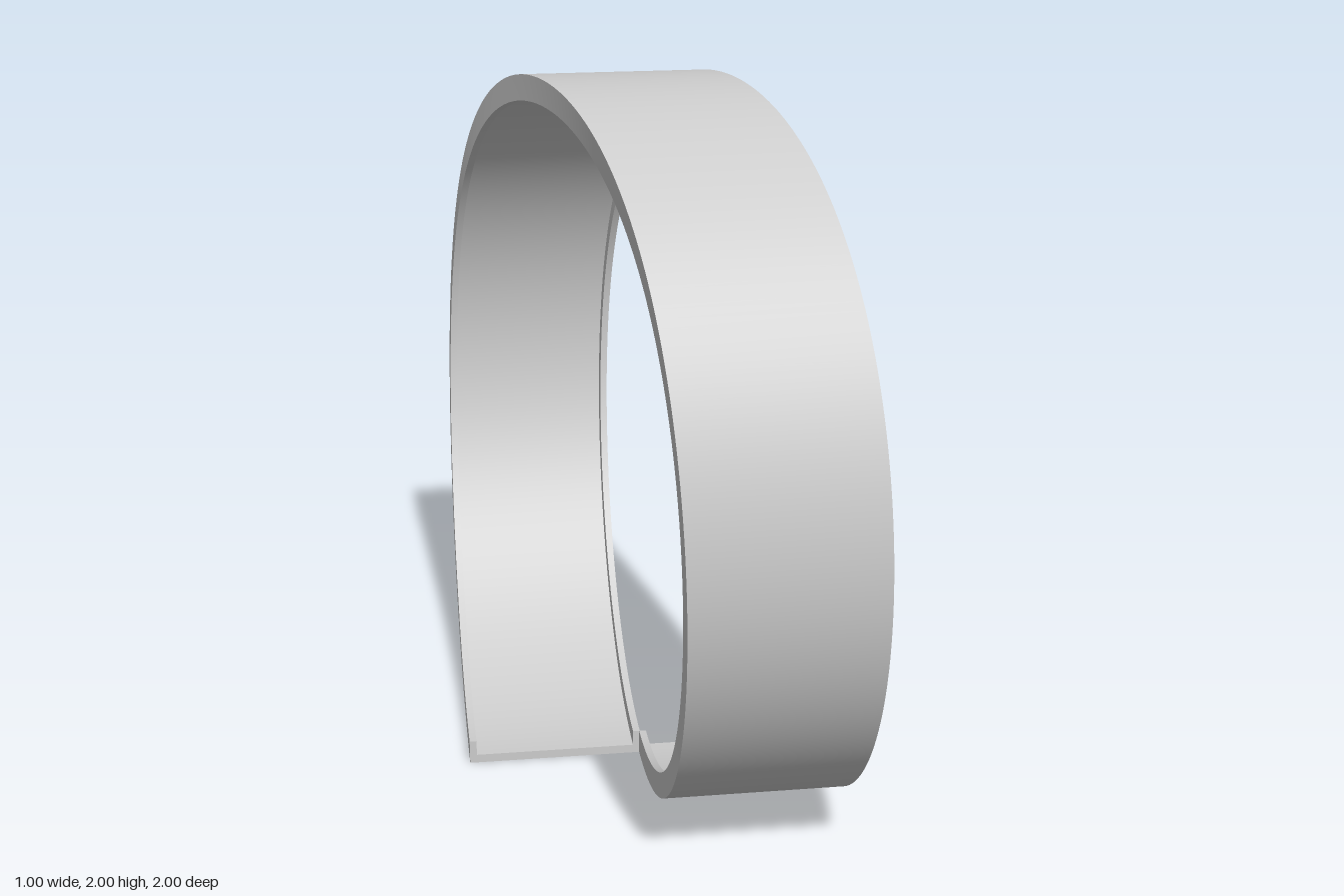
import * as THREE from 'three';

const STEPS = 256;

// Channel cross-section: [offset along x, depth below the outer rim]
const PROFILE = [
  [-0.25, 0], [0.25, 0], [0.25, 0.07], [0.23, 0.07],
  [0.23, 0.025], [-0.23, 0.025], [-0.23, 0.07], [-0.25, 0.07],
];

// Angle runs from -PI to PI, 0 at the top, turning towards the front;
// the band shifts sideways in an S-curve so that its two ends lie side by side.
function place(angle, [u, depth]) {
  const r = 1 - depth;
  return [0.25 * Math.tanh(angle) + u, 1 + r * Math.cos(angle), r * Math.sin(angle)];
}

function makeGeometry(positions, indices) {
  const g = new THREE.BufferGeometry();
  g.setAttribute('position', new THREE.Float32BufferAttribute(positions, 3));
  g.setIndex(indices);
  g.computeVertexNormals();
  return g;
}

// Sweep every profile edge separately: smooth along the band, sharp at corners
function bandGeometry() {
  const pos = [], idx = [];
  PROFILE.forEach((p, k) => {
    const q = PROFILE[(k + 1) % PROFILE.length];
    const base = pos.length / 3;
    for (let i = 0; i <= STEPS; i++) {
      const angle = -Math.PI + (2 * Math.PI * i) / STEPS;
      pos.push(...place(angle, p), ...place(angle, q));
      if (i < STEPS) {
        const a = base + 2 * i;
        idx.push(a, a + 2, a + 1, a + 1, a + 2, a + 3);
      }
    }
  });
  return makeGeometry(pos, idx);
}

// Flat cap closing the channel at one end
function capGeometry(angle, flip) {
  const outline = PROFILE.map(([u, d]) => new THREE.Vector2(u, d));
  const tris = THREE.ShapeUtils.triangulateShape(outline, []);
  const idx = tris.flatMap(([a, b, c]) => (flip ? [a, c, b] : [a, b, c]));
  return makeGeometry(PROFILE.flatMap((p) => place(angle, p)), idx);
}

export function createModel() {
  const group = new THREE.Group();
  group.name = 'spiralChannelRing';
  const material = new THREE.MeshStandardMaterial({ color: 0xcccccc });
  const add = (name, geometry) => {
    const mesh = new THREE.Mesh(geometry, material);
    mesh.name = name;
    group.add(mesh);
  };
  add('channelBand', bandGeometry());
  add('rightEndCap', capGeometry(-Math.PI, false));
  add('leftEndCap', capGeometry(Math.PI, true));
  return group;
}
